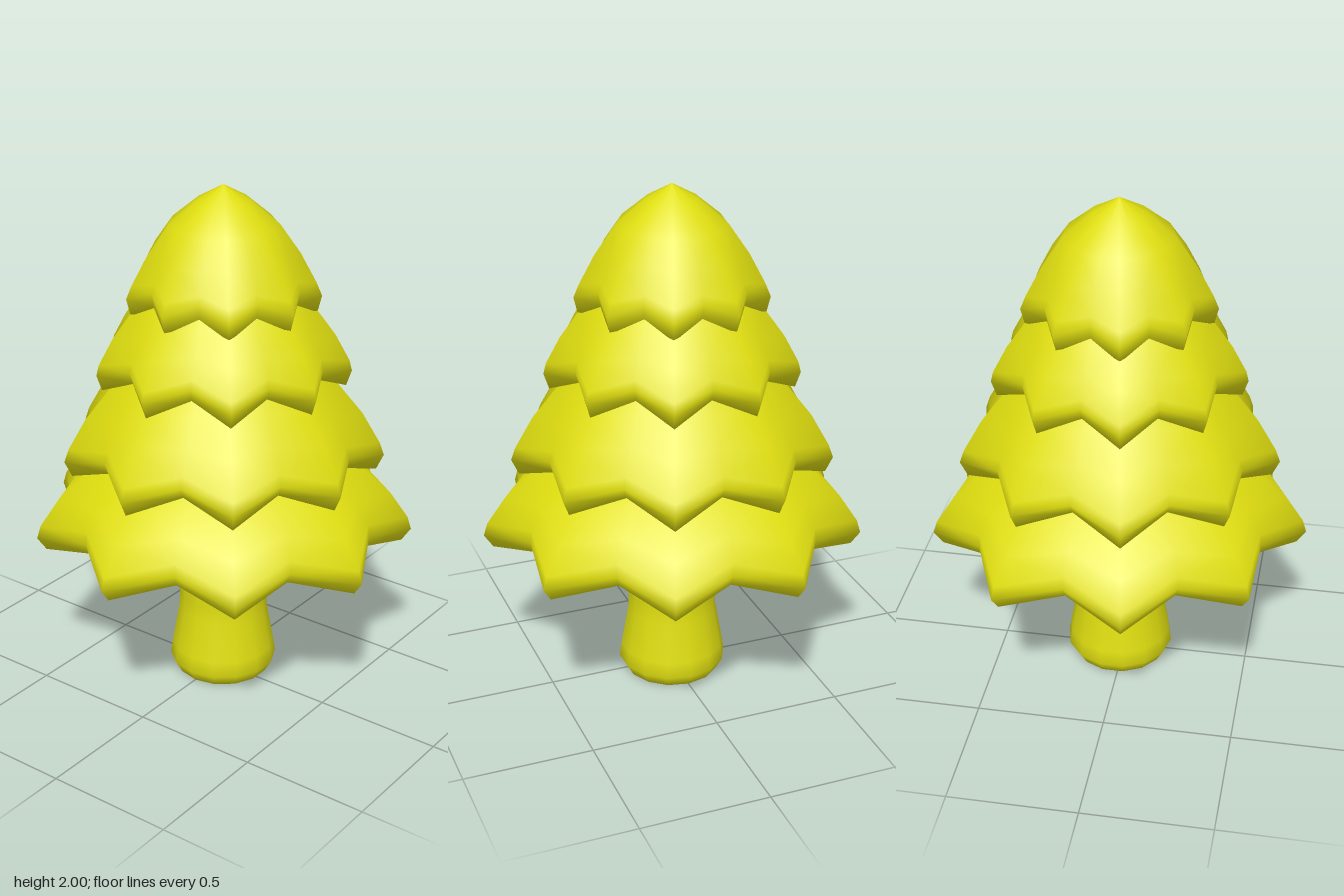
import * as THREE from 'three';

const POINTS = 9;

// Star-shaped skirt: each ring is [tip radius, valley radius, tip y, valley y], from top to underside.
function skirtGeometry(rings) {
  const n = POINTS * 2, pos = [], index = [];
  for (const [rTip, rValley, yTip, yValley] of rings) {
    for (let i = 0; i < n; i++) {
      const a = (i / n) * Math.PI * 2;
      const tip = i % 2 === 0;
      const r = tip ? rTip : rValley;
      pos.push(Math.sin(a) * r, tip ? yTip : yValley, Math.cos(a) * r);
    }
  }
  for (let k = 0; k < rings.length - 1; k++) {
    for (let i = 0; i < n; i++) {
      const j = (i + 1) % n;
      const a = k * n + i, b = k * n + j, c = a + n, d = b + n;
      // mirror the diagonal so that both flanks of a point match
      if (i % 2 === 0) index.push(a, c, d, a, d, b);
      else index.push(a, c, b, b, c, d);
    }
  }
  const g = new THREE.BufferGeometry();
  g.setAttribute('position', new THREE.Float32BufferAttribute(pos, 3));
  g.setIndex(index);
  g.computeVertexNormals();
  return g;
}

export function createModel() {
  const tree = new THREE.Group();
  tree.name = 'tree';
  const yellow = new THREE.MeshStandardMaterial({ color: 0xdfde10 });
  yellow.name = 'yellow';
  yellow.side = THREE.DoubleSide;

  const add = (name, geometry) => {
    const mesh = new THREE.Mesh(geometry, yellow);
    mesh.name = name;
    mesh.position.z = -0.02;
    tree.add(mesh);
  };

  // Trunk with a flared, bevelled foot
  const trunk = [[0, 0.02], [0.13, 0.02], [0.185, 0.002], [0.212, 0.05], [0.203, 0.11],
    [0.175, 0.27], [0.172, 0.34], [0.172, 0.85]];
  add('trunk', new THREE.LatheGeometry(trunk.map(([x, y]) => new THREE.Vector2(x, y)), 14));

  // Foliage tiers, bottom to top
  add('bottomFoliage', skirtGeometry([
    [0.36, 0.34, 1.02, 1.02],
    [0.52, 0.46, 0.92, 0.93],
    [0.65, 0.56, 0.80, 0.84],
    [0.72, 0.61, 0.70, 0.76],
    [0.735, 0.615, 0.65, 0.71],
    [0.70, 0.59, 0.60, 0.665],
    [0.62, 0.54, 0.585, 0.66],
    [0.45, 0.40, 0.65, 0.69],
    [0.16, 0.16, 0.74, 0.74],
  ]));
  add('lowerFoliage', skirtGeometry([
    [0.32, 0.30, 1.36, 1.36],
    [0.43, 0.39, 1.25, 1.25],
    [0.53, 0.46, 1.13, 1.15],
    [0.60, 0.51, 1.01, 1.06],
    [0.618, 0.525, 0.96, 1.02],
    [0.59, 0.50, 0.90, 0.975],
    [0.50, 0.44, 0.91, 0.98],
    [0.25, 0.25, 1.00, 1.00],
  ]));
  add('upperFoliage', skirtGeometry([
    [0.22, 0.21, 1.66, 1.66],
    [0.33, 0.30, 1.56, 1.56],
    [0.42, 0.36, 1.44, 1.46],
    [0.475, 0.40, 1.34, 1.39],
    [0.485, 0.41, 1.30, 1.355],
    [0.465, 0.395, 1.24, 1.31],
    [0.40, 0.35, 1.25, 1.32],
    [0.20, 0.20, 1.33, 1.33],
  ]));
  add('topFoliage', skirtGeometry([
    [0, 0, 2.0, 2.0],
    [0.10, 0.098, 1.945, 1.94],
    [0.21, 0.20, 1.855, 1.85],
    [0.285, 0.255, 1.75, 1.76],
    [0.345, 0.295, 1.64, 1.67],
    [0.366, 0.31, 1.59, 1.64],
    [0.35, 0.30, 1.525, 1.585],
    [0.29, 0.26, 1.53, 1.59],
    [0.15, 0.15, 1.60, 1.60],
  ]));
  return tree;
}
